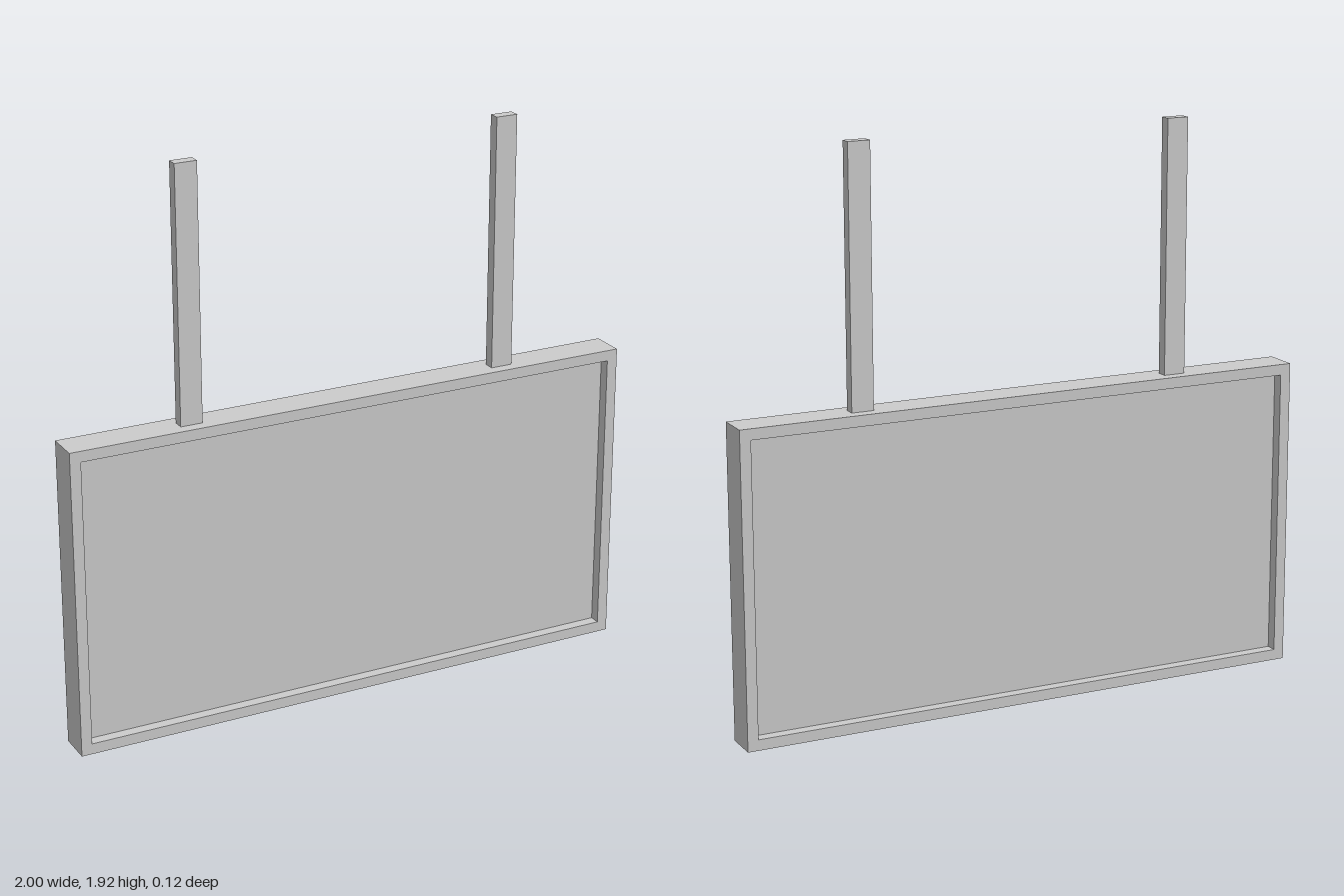
import * as THREE from 'three';

const material = new THREE.MeshStandardMaterial({ color: 0xcccccc, flatShading: true });

function add(group, name, geometry, x, y, z) {
  const mesh = new THREE.Mesh(geometry, material);
  mesh.name = name;
  mesh.position.set(x, y, z);
  group.add(mesh);
}

function rectangle(path, x0, y0, x1, y1) {
  path.moveTo(x0, y0);
  path.lineTo(x1, y0);
  path.lineTo(x1, y1);
  path.lineTo(x0, y1);
  path.closePath();
  return path;
}

export function createModel() {
  const group = new THREE.Group();
  group.name = 'hangingSign';

  const height = 1.06, depth = 0.118, rim = 0.037, recess = 0.038;

  // Rectangular frame around the panel
  const outline = rectangle(new THREE.Shape(), -1, 0, 1, height);
  outline.holes.push(rectangle(new THREE.Path(), -1 + rim, rim, 1 - rim, height - rim));
  const frame = new THREE.ExtrudeGeometry(outline, { depth, bevelEnabled: false });
  add(group, 'frame', frame, 0, 0, -depth / 2);

  // Panel, recessed on both faces
  const panel = new THREE.BoxGeometry(2 - 2 * rim, height - 2 * rim, depth - 2 * recess);
  add(group, 'panel', panel, 0, height / 2, 0);

  // Two hanging posts
  const postHeight = 0.863;
  for (const [name, side] of [['leftPost', 1], ['rightPost', -1]]) {
    add(group, name, new THREE.BoxGeometry(0.076, postHeight, 0.038), side * 0.568, height + postHeight / 2, 0);
  }

  return group;
}
